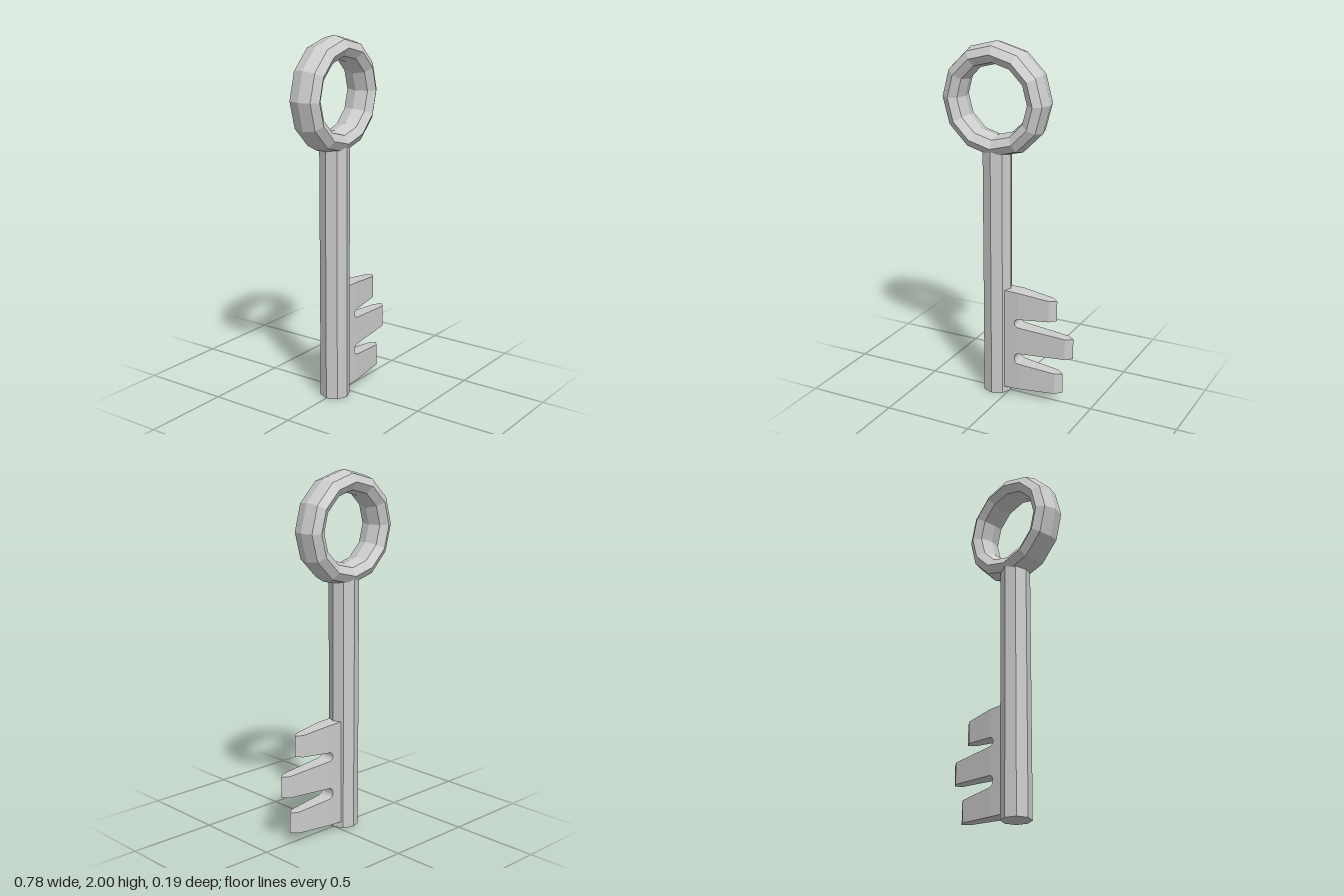
import * as THREE from 'three';

const AXIS_X = -0.077; // centre line of shaft and ring
const ROOT_X = 0.07;   // where the teeth leave the root plate
const ROOT_Z = 0.045;  // half thickness of the plate
const TIP_Z = 0.029;   // half thickness where a tooth's tip bevel starts

const material = new THREE.MeshStandardMaterial({ color: 0xcccccc, flatShading: true });

function part(name, geometry) {
  const mesh = new THREE.Mesh(geometry, material);
  mesh.name = name;
  return mesh;
}

// Tooth: pentagon seen from above, raised and tapered between its root and tip heights
function toothGeometry({ root, tip, x }) {
  const plan = new THREE.Shape([
    [ROOT_X, -ROOT_Z], [x - 0.038, -TIP_Z], [x, 0], [x - 0.038, TIP_Z], [ROOT_X, ROOT_Z],
  ].map(([px, pz]) => new THREE.Vector2(px, pz)));
  const geometry = new THREE.ExtrudeGeometry(plan, { depth: 1, bevelEnabled: false });
  geometry.rotateX(-Math.PI / 2);
  const pos = geometry.attributes.position;
  for (let i = 0; i < pos.count; i++) {
    const along = (pos.getX(i) - ROOT_X) / (x - ROOT_X);
    const bottom = THREE.MathUtils.lerp(root[0], tip[0], along);
    const top = THREE.MathUtils.lerp(root[1], tip[1], along);
    pos.setY(i, THREE.MathUtils.lerp(bottom, top, pos.getY(i)));
  }
  geometry.computeVertexNormals();
  return geometry;
}

// Root plate: slab with a rounded notch between neighbouring teeth
function rootGeometry(teeth) {
  const points = [[-0.06, 0.035], [ROOT_X, teeth[0].root[0]]];
  teeth.forEach((tooth, i) => {
    points.push([ROOT_X, tooth.root[1]]);
    if (i === teeth.length - 1) return;
    const low = tooth.root[1], high = teeth[i + 1].root[0];
    for (const [px, t] of [[0.056, 0.13], [0.049, 0.35], [0.049, 0.65], [0.056, 0.87]]) {
      points.push([px, THREE.MathUtils.lerp(low, high, t)]);
    }
    points.push([ROOT_X, high]);
  });
  points.push([-0.06, 0.63]);
  const shape = new THREE.Shape(points.map(([px, py]) => new THREE.Vector2(px, py)));
  const geometry = new THREE.ExtrudeGeometry(shape, { depth: 2 * ROOT_Z, bevelEnabled: false });
  return geometry.translate(0, 0, -ROOT_Z);
}

export function createModel() {
  const key = new THREE.Group();
  key.name = 'key';

  // Ring handle, with a tube deeper than it is wide
  const ring = part('ringHandle', new THREE.TorusGeometry(0.25, 0.061, 8, 12).scale(1, 1, 1.52));
  ring.position.set(AXIS_X, 1.689, 0);
  key.add(ring);

  // Octagonal shaft, its top buried in the ring
  const length = 1.43;
  const shaft = part('shaft', new THREE.CylinderGeometry(0.082, 0.082, length, 8));
  shaft.position.set(AXIS_X, length / 2, 0);
  key.add(shaft);

  // Bit: root plate and three teeth, bottom to top (heights as [bottom, top])
  const teeth = [
    { root: [0.04, 0.197], tip: [0.058, 0.175], x: 0.328 },
    { root: [0.26, 0.419], tip: [0.281, 0.398], x: 0.388 },
    { root: [0.469, 0.627], tip: [0.488, 0.605], x: 0.288 },
  ];
  const bit = new THREE.Group();
  bit.name = 'bit';
  bit.add(part('bitRoot', rootGeometry(teeth)));
  ['lowerTooth', 'middleTooth', 'upperTooth'].forEach((name, i) => {
    bit.add(part(name, toothGeometry(teeth[i])));
  });
  key.add(bit);

  return key;
}
